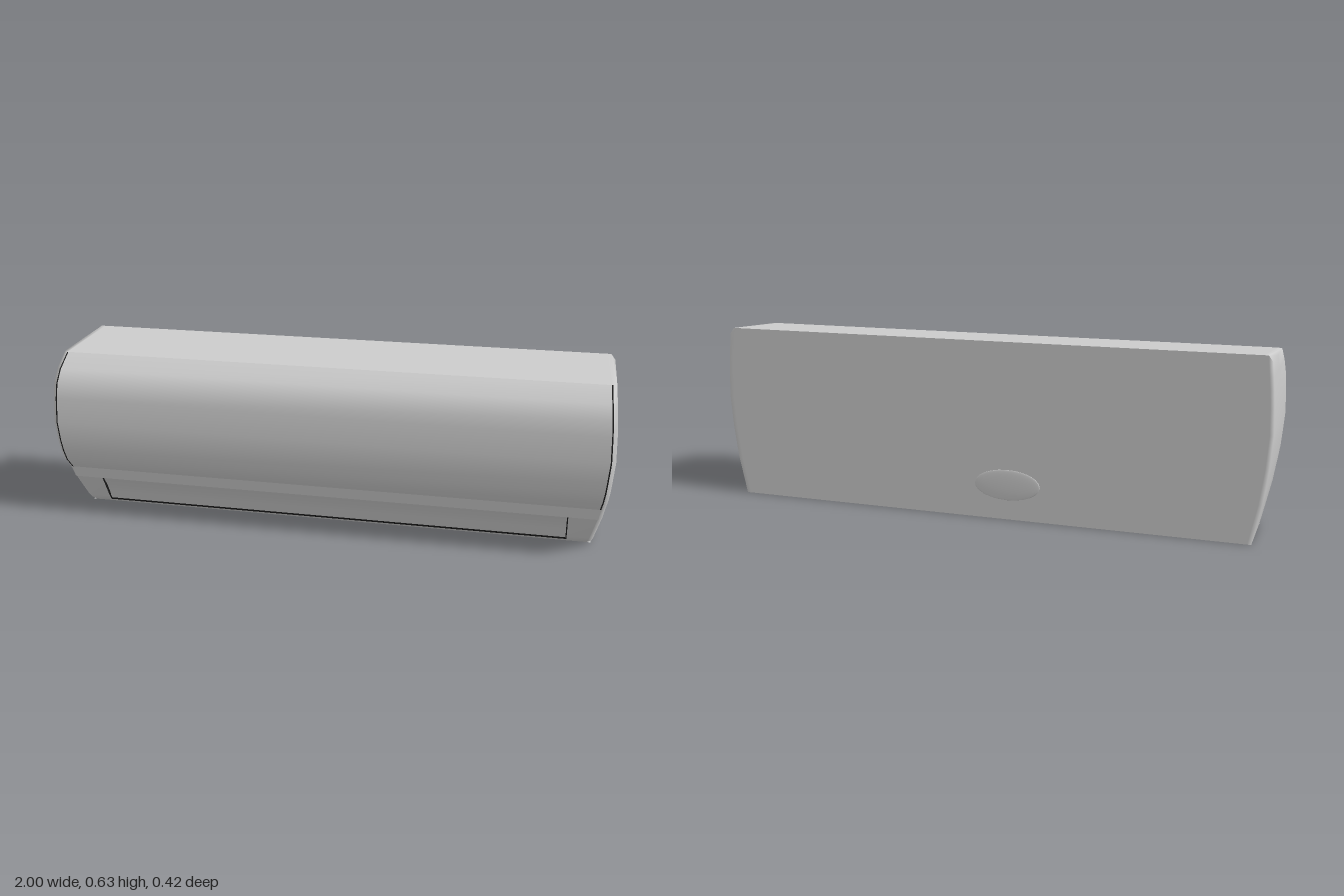
import * as THREE from 'three';

const BACK = -0.207, RIM = 0.014;
// front profile as [z, y], bottom to top
const FRONT = [[0.035, 0], [0.06, 0.016], [0.075, 0.035], [0.133, 0.137], [0.153, 0.178], [0.184, 0.217],
  [0.197, 0.255], [0.207, 0.3], [0.212, 0.37], [0.207, 0.46], [0.198, 0.515], [0.17, 0.562], [0.107, 0.609]];
// half width as [y, x]: the ends bulge at mid height
const WIDTH = [[0, 0.945], [0.14, 0.975], [0.25, 0.99], [0.38, 1], [0.5, 0.995], [0.609, 0.985], [0.63, 0.97]];

function halfWidth(y) {
  for (let i = 1; i < WIDTH.length; i++) {
    const [y0, x0] = WIDTH[i - 1], [y1, x1] = WIDTH[i];
    if (y <= y1) return x0 + (x1 - x0) * (y - y0) / (y1 - y0);
  }
  return WIDTH[WIDTH.length - 1][1];
}

// smooth sheet through rows of points (rows go up, columns go right)
function sheet(rows) {
  const n = rows[0].length, index = [];
  for (let i = 0; i < rows.length - 1; i++) {
    for (let j = 0; j < n - 1; j++) {
      const a = i * n + j, b = a + n;
      index.push(a, a + 1, b + 1, a, b + 1, b);
    }
  }
  const g = new THREE.BufferGeometry();
  g.setAttribute('position', new THREE.Float32BufferAttribute(rows.flat(2), 3));
  g.setIndex(index);
  g.computeVertexNormals();
  return g;
}

const mirror = rows => rows.map(r => r.map(([x, y, z]) => [-x, y, z]).reverse());
const span = (profile, half) => profile.map(([z, y]) => [[-half(y), y, z], [half(y), y, z]]);

export function createModel() {
  const group = new THREE.Group();
  const body = new THREE.MeshStandardMaterial({ color: 0xcccccc, side: THREE.DoubleSide });
  body.name = 'casing';
  const dark = new THREE.MeshStandardMaterial({ color: 0x1c1c1c, side: THREE.DoubleSide });
  dark.name = 'seam';
  const add = (name, geometry, material = body) => {
    const mesh = new THREE.Mesh(geometry, material);
    mesh.name = name;
    group.add(mesh);
  };
  const addPair = (name, rows, material) => {
    add(name + 'Left', sheet(rows), material);
    add(name + 'Right', sheet(mirror(rows)), material);
  };
  const inner = y => halfWidth(y) - RIM;

  // bulged ends, wrapping slightly onto front and back
  addPair('endCap', [...FRONT, [BACK, 0.63]].map(([z, y]) => {
    const w = halfWidth(y), edge = Math.max(z - 0.012, BACK);
    return [[w - RIM, y, z], [w, y, edge], [w, y, (edge + BACK) / 2], [w, y, BACK], [w - RIM, y, BACK]];
  }));

  // curved front panel with its lower lip
  const panel = FRONT.slice(4);
  add('frontPanel', sheet(span(panel, y => inner(y) - 0.003)));
  add('panelLip', sheet(span([[0.145, 0.137], [0.153, 0.178]], inner)));
  add('panelLipUnderside', sheet(span([[0.125, 0.135], [0.145, 0.137]], inner)));
  addPair('panelSeam', panel.map(([z, y]) =>
    [[inner(y) - 0.004, y, z + 0.0006], [inner(y) + 0.0005, y, z + 0.0006]]), dark);

  // top, back and bottom
  add('top', sheet(span([[0.107, 0.609], [BACK, 0.63]], inner)));
  add('bottom', sheet(span([[BACK, 0], [0.035, 0]], () => halfWidth(0))));
  add('back', sheet(mirror(span(WIDTH.map(([y]) => [BACK, y]), inner))));

  // sloping lower front: solid corners around a shallow concave louver
  const O = 0.86;
  const slope = FRONT.slice(0, 5);
  addPair('lowerCorner', slope.map(([z, y]) => [[O, y, z], [inner(y), y, z]]));
  add('lowerEdge', sheet(span(slope.slice(0, 2), () => O)));
  const outer = [], sunk = [];
  for (let i = 0; i <= 6; i++) {
    const t = i / 6, y = 0.016 + 0.122 * t;
    const z = y < 0.035 ? 0.06 + (y - 0.016) * 0.79 : 0.075 + (y - 0.035) * 0.569;
    outer.push([z, y]);
    sunk.push([z - 0.009 * Math.sin(Math.PI * t), y]);
  }
  add('louver', sheet(span(sunk, () => O)));
  addPair('louverSideGap', outer.map(([z, y], i) =>
    [[O - 0.004, y, sunk[i][0] + 0.0008], [O, y, z + 0.0008]]), dark);
  add('louverLowerGap', sheet(span([[0.0615, 0.017], [0.0695, 0.027]], () => O)), dark);

  // shallow swelling on the back
  const pad = new THREE.SphereGeometry(1, 24, 12);
  pad.scale(0.12, 0.055, 0.004);
  pad.translate(-0.1, 0.125, BACK);
  add('backPad', pad);

  return group;
}
